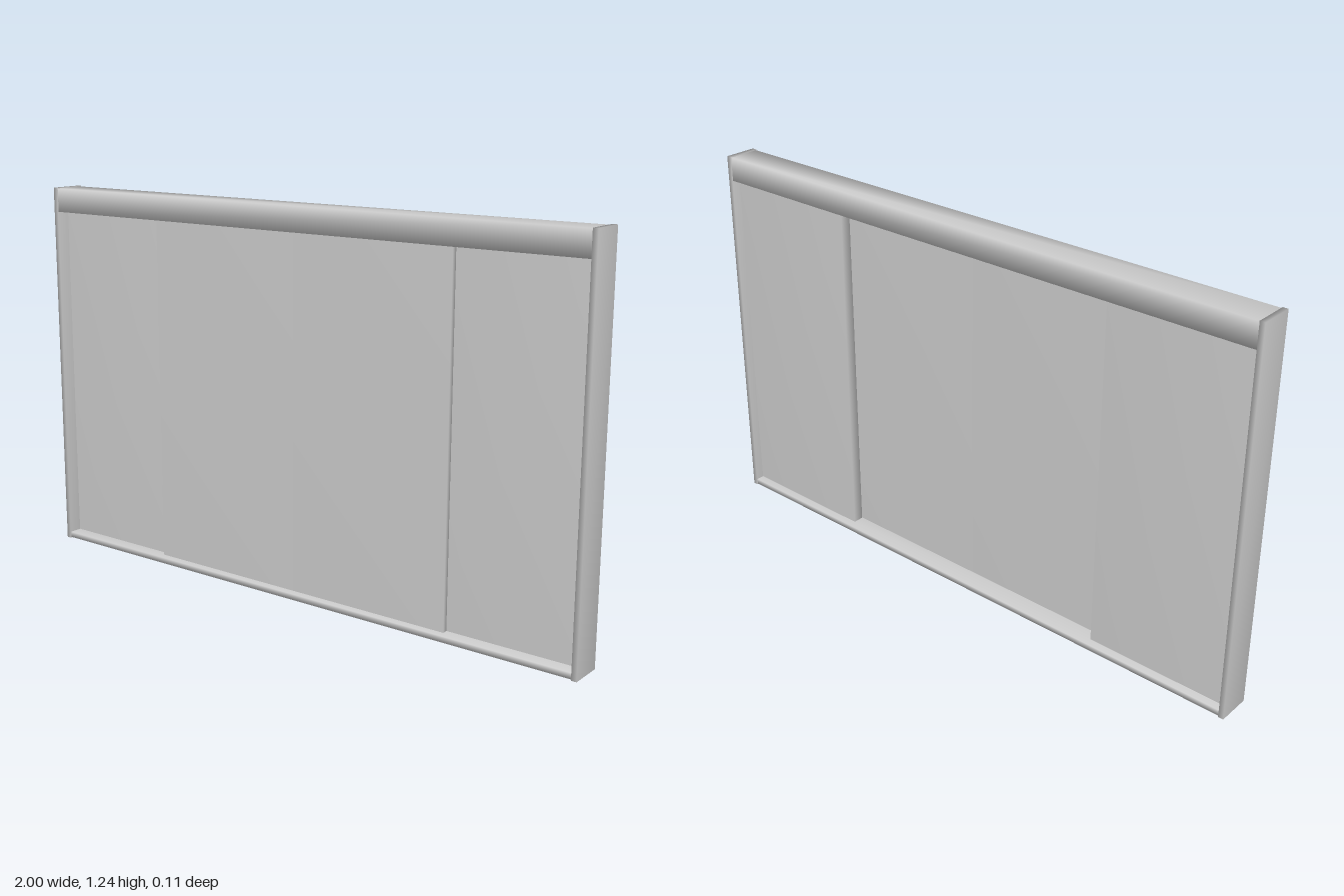
import * as THREE from 'three';
import { mergeVertices } from 'three/addons/utils/BufferGeometryUtils.js';

const material = new THREE.MeshStandardMaterial({ color: 0xcccccc });

// Box given by its limits, with normals shared across the edges for soft shading
function softBox(name, [x0, x1], [y0, y1], [z0, z1]) {
  let geometry = new THREE.BoxGeometry(x1 - x0, y1 - y0, z1 - z0);
  geometry.deleteAttribute('normal');
  geometry.deleteAttribute('uv');
  geometry = mergeVertices(geometry);
  geometry.computeVertexNormals();
  const mesh = new THREE.Mesh(geometry, material);
  mesh.name = name;
  mesh.position.set((x0 + x1) / 2, (y0 + y1) / 2, (z0 + z1) / 2);
  return mesh;
}

// Range mirrored to the given side of x = 0
const mirror = (side, a, b) => (side > 0 ? [a, b] : [-b, -a]);

export function createModel() {
  const model = new THREE.Group();
  model.name = 'slidingDoor';

  const railDepth = [-0.053, 0.053];
  const panelHeight = [0.02, 1.157];

  // Frame: deep head rail and thin sill between the posts
  model.add(softBox('headRail', [-0.985, 0.985], [1.155, 1.233], railDepth));
  model.add(softBox('sill', [-0.985, 0.985], [0.003, 0.022], railDepth));

  for (const side of [1, -1]) {
    const label = side > 0 ? 'left' : 'right';
    model.add(softBox(label + 'Post', mirror(side, 0.983, 1), [0, 1.235], [-0.055, 0.055]));
    // Outer panels sit behind and overlap the middle pair
    model.add(softBox(label + 'OuterPanel', mirror(side, 0.508, 0.985), panelHeight, [-0.026, 0.01]));
    model.add(softBox(label + 'MiddlePanel', mirror(side, 0, 0.556), panelHeight, [0.011, 0.028]));
  }
  return model;
}
